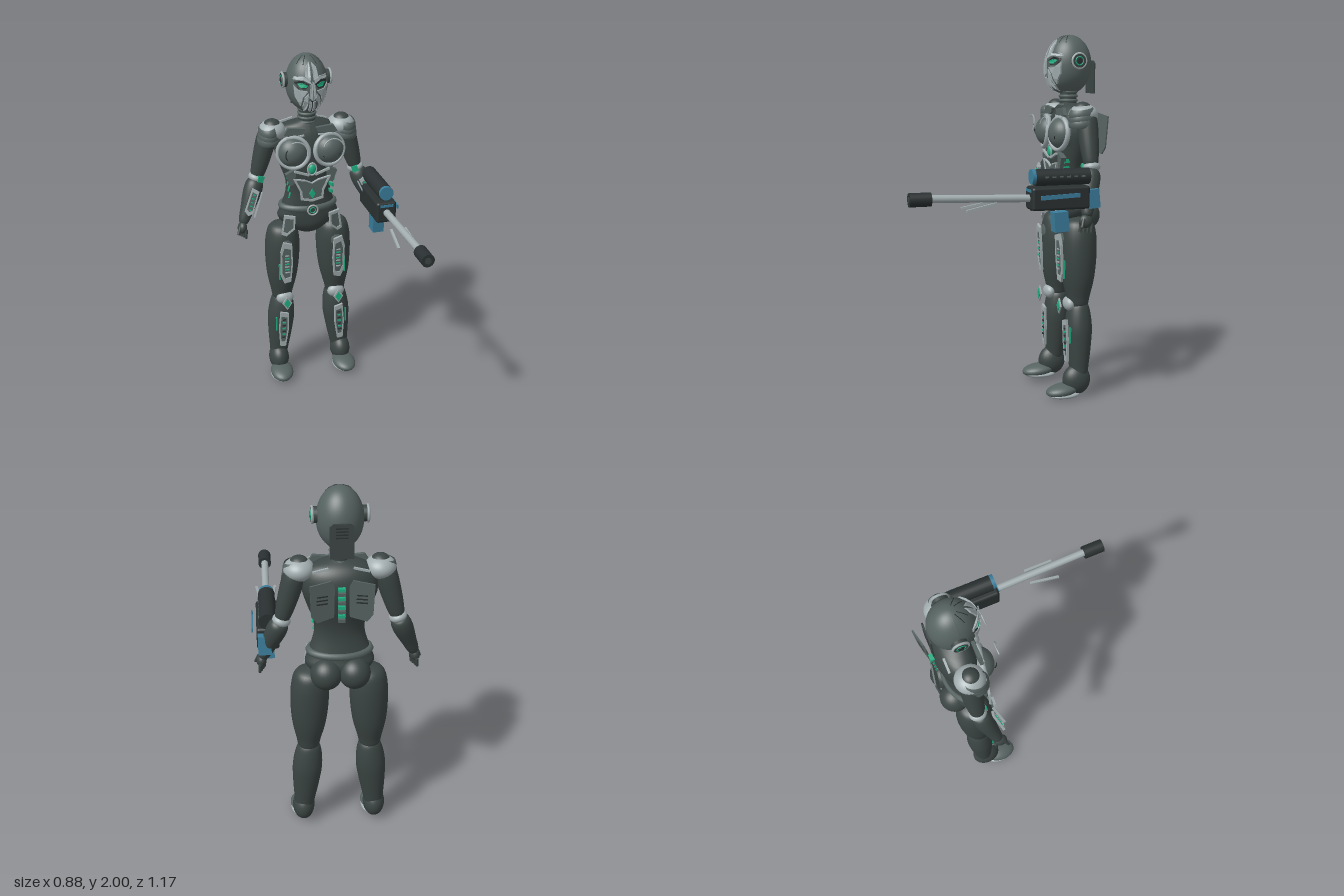
import * as THREE from 'three';
import { RoundedBoxGeometry } from 'three/addons/geometries/RoundedBoxGeometry.js';

const mat = (name, color) => Object.assign(new THREE.MeshStandardMaterial({ color, side: THREE.DoubleSide }), { name });
const V = (a) => new THREE.Vector3(...a);

export function createModel() {
  const body = mat('dark body', 0x3b4543), grey = mat('grey plating', 0x566361), light = mat('light trim', 0xa2adaf);
  const green = mat('green glow', 0x1fae80), blue = mat('blue fittings', 0x3a7d9b), black = mat('gun black', 0x2a3031);
  const root = new THREE.Group();
  let side = 1, prefix = '';

  // Helpers: place a mesh (mirrored by side), and run a builder for both sides
  function add(name, geo, material, p = [0, 0, 0], r = [0, 0, 0], s = [1, 1, 1]) {
    const m = new THREE.Mesh(geo, material);
    m.name = prefix + name;
    m.position.set(p[0] * side, p[1], p[2]);
    m.rotation.set(r[0], r[1] * side, r[2] * side);
    m.scale.set(...s);
    root.add(m);
    return m;
  }
  const both = (fn) => {
    for (side of [1, -1]) { prefix = side > 0 ? 'left ' : 'right '; fn(); }
    side = 1; prefix = '';
  };
  const ball = (name, m, p, s, r) => add(name, new THREE.SphereGeometry(1, 28, 20), m, p, r, s);
  const box = (name, m, p, s, r) => add(name, new THREE.BoxGeometry(...s), m, p, r);
  const rod = (name, m, p, r1, r2, h, r) => add(name, new THREE.CylinderGeometry(r1, r2, h, 24), m, p, r);
  const ring = (name, m, p, R, t, r, s) => add(name, new THREE.TorusGeometry(R, t, 8, 36), m, p, r, s);
  const outline = (pts, k = 1) => pts.map(([x, y]) => new THREE.Vector2(x * k * side, y * k));
  const extrude = (shape, depth = 0.008) => new THREE.ExtrudeGeometry(shape, { depth, bevelEnabled: false });
  const plate = (name, m, pts, p, r, depth) => add(name, extrude(new THREE.Shape(outline(pts)), depth), m, p, r);
  // Plate with a raised light frame round it
  function framed(name, pts, p, r, inner = 0.8) {
    const rim = new THREE.Shape(outline(pts));
    rim.holes.push(new THREE.Path(outline(pts, inner)));
    add(name + ' frame', extrude(rim, 0.014), light, p, r);
    plate(name, grey, pts.map(([x, y]) => [x * 0.9, y * 0.9]), p, r, 0.009);
  }
  // Rounded limb from a to b; profile lists [t, radius]
  function limb(name, m, a, b, profile, depth = 1) {
    const d = V(b).sub(V(a)), L = d.length();
    const pts = new THREE.SplineCurve(profile.map(([t, r]) => new THREE.Vector2(r, t * L))).getPoints(40);
    pts.forEach((q) => { q.x = Math.max(q.x, 0); });
    const o = add(name, new THREE.LatheGeometry(pts, 28), m, a, undefined, [1, 1, depth]);
    d.x *= side;
    o.quaternion.setFromUnitVectors(new THREE.Vector3(0, 1, 0), d.normalize());
  }
  const diamond = (w, h) => [[0, h], [w, 0], [0, -h], [-w, 0]];

  // Torso: rows of [y, half width, front z, back z]
  const rows = [[0.94, 0.03, -0.39, -0.45], [0.955, 0.075, -0.355, -0.48], [1.0, 0.14, -0.33, -0.515], [1.05, 0.178, -0.325, -0.52],
    [1.1, 0.165, -0.325, -0.505], [1.2, 0.132, -0.325, -0.485], [1.28, 0.132, -0.32, -0.49], [1.38, 0.165, -0.315, -0.52],
    [1.47, 0.19, -0.31, -0.54], [1.55, 0.185, -0.325, -0.53], [1.6, 0.14, -0.35, -0.5], [1.63, 0.05, -0.37, -0.45]];
  const widths = new THREE.CatmullRomCurve3(rows.map((q) => V([q[1], q[0], 0])), false, 'catmullrom');
  const depths = new THREE.CatmullRomCurve3(rows.map((q) => V([0, q[2], q[3]])), false, 'catmullrom');
  const torso = new THREE.CylinderGeometry(1, 1, 1, 40, 44, true);
  const tp = torso.attributes.position;
  for (let i = 0; i < tp.count; i++) {
    const t = tp.getY(i) + 0.5, w = widths.getPoint(t), d = depths.getPoint(t);
    tp.setXYZ(i, tp.getX(i) * w.x, w.y, (d.y + d.z) / 2 + tp.getZ(i) * (d.y - d.z) / 2);
  }
  torso.computeVertexNormals();
  add('torso', torso, body);

  // Neck with rings
  rod('neck', body, [0, 1.64, -0.41], 0.045, 0.05, 0.14);
  for (let i = 0; i < 5; i++) ring('neck ring', grey, [0, 1.595 + i * 0.024, -0.41], 0.046, 0.008, [Math.PI / 2, 0, 0]);

  // Head: ellipsoid with a fuller, narrower jaw
  const hy = 1.838, hz = -0.413, rx = 0.116, ry = 0.162, rz = 0.124;
  const jaw = (v) => (v < 0 ? Math.sqrt(1 + v * v) : 1), taper = (v) => jaw(v) * (v < 0 ? 1 - 0.42 * v * v : 1);
  const head = new THREE.SphereGeometry(1, 40, 32), hp = head.attributes.position;
  for (let i = 0; i < hp.count; i++) {
    const v = hp.getY(i), z = hp.getZ(i);
    hp.setXYZ(i, hp.getX(i) * rx * taper(v), hy + v * ry, hz + z * rz * (z > 0 ? jaw(v) : 1));
  }
  head.computeVertexNormals();
  add('head', head, grey);
  const faceZ = (x, y) => {
    const v = (y - hy) / ry, u = x / (rx * taper(v));
    return hz + rz * jaw(v) * Math.sqrt(Math.max(0, 1 - v * v - u * u));
  };
  // Plates bent over the face
  function facePlate(name, m, pts, lift = 0.003, depth = 0.008) {
    const fine = pts.flatMap((a, i) => {
      const b = pts[(i + 1) % pts.length];
      return [0, 1, 2, 3].map((k) => [a[0] + (b[0] - a[0]) * k / 4, a[1] + (b[1] - a[1]) * k / 4]);
    });
    const g = extrude(new THREE.Shape(outline(fine)), depth), q = g.attributes.position;
    for (let i = 0; i < q.count; i++) q.setZ(i, q.getZ(i) + lift + faceZ(q.getX(i), q.getY(i)));
    g.computeVertexNormals();
    add(name, g, m);
  }
  both(() => {
    facePlate('forehead plate', light, [[0.006, 1.975], [0.028, 1.95], [0.036, 1.905], [0.008, 1.885]]);
    facePlate('brow', light, [[0.01, 1.868], [0.05, 1.888], [0.095, 1.885], [0.088, 1.902], [0.045, 1.905], [0.012, 1.89]], 0.007);
    facePlate('eye socket', black, [[0.016, 1.862], [0.05, 1.882], [0.09, 1.872], [0.075, 1.838], [0.035, 1.836]], 0.001, 0.004);
    facePlate('eye', green, [[0.024, 1.857], [0.05, 1.868], [0.078, 1.864], [0.062, 1.846], [0.036, 1.845]], 0.004, 0.005);
    facePlate('nose side', light, [[0.002, 1.88], [0.013, 1.86], [0.018, 1.79], [0.002, 1.775]], 0.012);
    facePlate('cheek plate', light, [[0.025, 1.826], [0.07, 1.83], [0.094, 1.855], [0.088, 1.79], [0.06, 1.735], [0.052, 1.79]]);
    facePlate('muzzle plate', light, [[0.022, 1.815], [0.042, 1.79], [0.05, 1.73], [0.036, 1.695], [0.026, 1.745]], 0.006);
    facePlate('lip strip', light, [[0.004, 1.765], [0.016, 1.77], [0.018, 1.71], [0.005, 1.695]], 0.006);
    // Ear discs
    const turn = [0, 0, Math.PI / 2];
    rod('ear disc', body, [0.125, 1.86, -0.42], 0.04, 0.04, 0.03, turn);
    ring('ear ring', light, [0.134, 1.86, -0.42], 0.039, 0.007, [0, Math.PI / 2, 0]);
    ring('ear glow', green, [0.14, 1.86, -0.42], 0.022, 0.003, [0, Math.PI / 2, 0]);
    rod('ear hub', black, [0.139, 1.86, -0.42], 0.014, 0.014, 0.012, turn);
  });
  facePlate('mouth slit', black, [[-0.005, 1.77], [0.005, 1.77], [0.005, 1.7], [-0.005, 1.7]], 0.001, 0.004);
  plate('head back plate', body, [[-0.058, -0.09], [0.058, -0.09], [0.058, 0.075], [0.04, 0.09], [-0.04, 0.09], [-0.058, 0.075]], [0, 1.77, -0.545]);
  for (let i = 0; i < 4; i++) box('head vent', black, [0, 1.79 + i * 0.016, -0.547], [0.06, 0.006, 0.004]);
  // Seams over the crown
  for (let i = -2; i <= 2; i++) {
    const pts = [0.25, 0.5, 0.75, 1, 1.25, 1.5].map((a) => V([Math.sin(i * 0.5) * Math.sin(a) * rx, hy + Math.cos(a) * ry * 1.003, hz + Math.cos(i * 0.5) * Math.sin(a) * rz]));
    if (i) add('crown seam', new THREE.TubeGeometry(new THREE.CatmullRomCurve3(pts.slice(0, 3)), 12, 0.002, 5), black);
  }

  both(() => {
    // Chest
    ball('breast', grey, [0.104, 1.47, -0.335], [0.086, 0.086, 0.075]);
    ring('breast rim', light, [0.104, 1.468, -0.318], 0.088, 0.012, [-0.1, 0.2, 0], [1, 1, 1.3]);
    add('chest arc', new THREE.TorusGeometry(0.06, 0.004, 6, 24, 2.4), light, [0.105, 1.5, -0.225], [-0.2, 0, 0.37]);
    add('chest lower arc', new THREE.TorusGeometry(0.055, 0.003, 6, 24, 2.2), black, [0.104, 1.478, -0.268], [0.25, 0, 3.7]);
    plate('collar plate', grey, [[0.03, 1.6], [0.13, 1.61], [0.155, 1.57], [0.1, 1.555], [0.04, 1.575]], [0, 0, -0.345], [0, 0, 0], 0.02);
    box('collar trim', light, [0.09, 1.558, -0.322], [0.1, 0.008, 0.01], [0, 0, -0.1]);
    box('upper back trim', light, [0.1, 1.6, -0.5], [0.08, 0.01, 0.012], [0, 0, -0.25]);
    // Abdomen and flanks
    plate('flank plate', grey, [[0.085, 1.37], [0.15, 1.34], [0.125, 1.27], [0.1, 1.28]], [0, 0, -0.345], [0, 0, 0], 0.03);
    for (let i = 0; i < 4; i++) box('flank glow', green, [0.118 + i * 0.004, 1.2 + i * 0.04, -0.36], [0.008, 0.022, 0.05], [0, 0.4, 0.2]);
    box('rib trim', light, [0.06, 1.345, -0.305], [0.09, 0.012, 0.012], [0, 0, 0.35]);
    // Hip pouch
    framed('hip guard', [[-0.036, 0.06], [0.03, 0.066], [0.042, -0.055], [0.012, -0.065], [-0.034, -0.02]], [0.135, 1.025, -0.322], [0, 0.25, 0.05], 0.72);
    // Shoulder blade plates with slots
    const bx = 0.092, rot = [-0.06, 0.2, 0];
    plate('shoulder blade plate', grey, [[-0.055, -0.09], [0.03, -0.11], [0.06, -0.07], [0.066, 0.1], [-0.04, 0.115], [-0.058, 0.08]], [bx, 1.46, -0.569], rot);
    for (let i = 0; i < 4; i++) box('back vent', black, [bx + 0.005, 1.455 + i * 0.02, -0.571], [0.055, 0.007, 0.004], rot);
    ball('buttock', body, [0.072, 1.01, -0.488], [0.083, 0.086, 0.084]);

    // Shoulder
    ball('shoulder joint', light, [0.2, 1.575, -0.42], [0.078, 0.058, 0.08]);
    ball('shoulder cap', body, [0.2, 1.602, -0.415], [0.05, 0.042, 0.05]);
    for (let i = 0; i < 3; i++) add('shoulder layer', new THREE.SphereGeometry(1, 24, 10, 0, Math.PI * 2, 0.9, 0.9), grey, [0.222, 1.53 + i * 0.024, -0.405], [0.15, 0, -0.15], [0.066 - i * 0.004, 0.055, 0.075]);
    // Arm
    const elbow = [0.293, 1.3, -0.432], wrist = [0.39, 1.06, -0.37];
    limb('upper arm', body, elbow, [0.21, 1.6, -0.43], [[0, 0.03], [0.12, 0.042], [0.45, 0.053], [0.8, 0.056], [0.95, 0.04], [1, 0]]);
    ball('elbow joint', light, elbow, [0.047, 0.03, 0.048], [0, 0, 0.3]);
    box('elbow glow', green, [0.278, 1.302, -0.386], [0.036, 0.036, 0.01], [0, -0.2, 0.35]);
    limb('forearm', body, wrist, elbow, [[-0.03, 0], [0, 0.027], [0.3, 0.04], [0.7, 0.053], [0.92, 0.043], [1, 0]]);
    const fr = [-0.26, 0, 0.38];
    framed('forearm guard', [[-0.022, 0.07], [0.02, 0.08], [0.025, -0.06], [0, -0.08], [-0.022, -0.06]], [0.342, 1.185, -0.347], fr, 0.72);
    box('forearm side fin', light, [0.31, 1.175, -0.325], [0.006, 0.15, 0.015], fr);
    for (let i = -2; i <= 2; i++) box('forearm glow', green, [0.342 - i * 0.008, 1.187 + i * 0.02, -0.337 - i * 0.005], [0.014, 0.006, 0.008], fr);
    // Hand
    ball('palm', body, [0.4, 1.03, -0.36], [0.026, 0.036, 0.036], [0, 0, 0.2]);
    for (let i = 0; i < 4; i++) rod('finger', body, [0.408 - i * 0.008, 0.995, -0.39 + i * 0.018], 0.01, 0.007, 0.05, [-0.1, 0, 0.1]);
    rod('thumb', body, [0.422, 1.022, -0.335], 0.011, 0.007, 0.05, [-0.4, 0, 0.4]);

    // Leg
    limb('thigh', body, [0.166, 0.5, -0.415], [0.15, 1.015, -0.42], [[0, 0], [0.03, 0.05], [0.14, 0.066], [0.35, 0.09], [0.6, 0.101], [0.82, 0.097], [0.95, 0.072], [1, 0]]);
    limb('lower leg', body, [0.195, 0.1, -0.415], [0.16, 0.55, -0.42], [[0, 0], [0.03, 0.045], [0.2, 0.06], [0.45, 0.074], [0.65, 0.08], [0.85, 0.07], [0.96, 0.05], [1, 0]], 0.93);
    ball('thigh pad', grey, [0.152, 0.885, -0.35], [0.05, 0.07, 0.034]);
    framed('thigh guard', [[-0.03, 0.13], [0.02, 0.145], [0.038, 0.08], [0.036, -0.08], [0.015, -0.13], [-0.025, -0.12], [-0.035, 0]], [0.155, 0.785, -0.314], [0.06, 0.1, 0], 0.75);
    for (let i = -3; i <= 3; i++) box('thigh glow', i % 2 ? light : green, [0.155, 0.785 + i * 0.018, -0.3], [0.026, 0.006, 0.006]);
    box('thigh side glow', green, [0.197, 0.73, -0.32], [0.008, 0.1, 0.01]);
    ball('knee cap', light, [0.158, 0.53, -0.365], [0.052, 0.04, 0.032]);
    plate('knee plate', light, diamond(0.03, 0.044), [0.158, 0.52, -0.312]);
    plate('knee glow', green, diamond(0.02, 0.032), [0.158, 0.52, -0.304], [0, 0, 0], 0.004);
    framed('shin guard', [[-0.024, 0.11], [0.026, 0.12], [0.03, 0], [0.016, -0.12], [-0.018, -0.12], [-0.03, 0]], [0.174, 0.325, -0.35], [0.03, 0.05, 0.06], 0.75);
    for (let i = -3; i <= 3; i++) box('shin glow', i % 2 ? black : green, [0.174 - i * 0.001, 0.33 + i * 0.02, -0.336], [0.02, 0.007, 0.006]);
    box('shin side glow', green, [0.216, 0.36, -0.352], [0.008, 0.09, 0.01]);
    // Foot
    ball('heel', body, [0.196, 0.1, -0.4], [0.06, 0.085, 0.08]);
    ball('toe cap', grey, [0.198, 0.046, -0.315], [0.068, 0.036, 0.095], [0.12, 0.08, 0]);
    ball('sole', light, [0.198, 0.022, -0.325], [0.066, 0.02, 0.095], [0, 0.08, 0]);
  });

  // Centre front details
  framed('abdomen plate', [[-0.11, 0.065], [-0.04, 0.05], [0, 0.03], [0.04, 0.05], [0.11, 0.065], [0.07, -0.02], [0.065, -0.07], [0, -0.085], [-0.065, -0.07], [-0.07, -0.02]], [0, 1.25, -0.318], undefined, 0.84);
  plate('abdomen gem', green, diamond(0.018, 0.03), [0, 1.215, -0.307]);
  ball('sternum gem', green, [0, 1.365, -0.305], [0.022, 0.03, 0.014]);
  ring('sternum rim', light, [0, 1.365, -0.304], 0.028, 0.005, undefined, [0.9, 1.25, 1]);

  // Spine lights
  for (let i = 0; i < 8; i++) box('spine segment', i % 2 ? green : grey, [0, 1.35 + i * 0.024, -0.545], [0.036, 0.016, 0.026]);

  // Belt and buckle
  ring('belt', grey, [0, 1.115, -0.415], 0.155, 0.02, [Math.PI / 2, 0, 0], [1, 0.62, 1]);
  rod('buckle', body, [0, 1.115, -0.305], 0.032, 0.032, 0.018, [Math.PI / 2, 0, 0]);
  ring('buckle rim', light, [0, 1.115, -0.296], 0.029, 0.005);
  ring('buckle glow', green, [0, 1.115, -0.295], 0.016, 0.003);

  // Gun, held by the left hand
  const gx = 0.362, along = [Math.PI / 2, 0, 0];
  add('gun body', new RoundedBoxGeometry(0.116, 0.122, 0.32, 3, 0.015), black, [gx, 1.158, -0.217]);
  rod('gun top tube', black, [gx, 1.265, -0.235], 0.044, 0.044, 0.3, along);
  rod('top tube lens', blue, [gx, 1.27, -0.076], 0.04, 0.04, 0.02, along);
  for (let i = 0; i < 6; i++) box('top tube slot', grey, [gx + 0.043, 1.27, -0.34 + i * 0.04], [0.006, 0.008, 0.02]);
  rod('gun barrel', light, [gx, 1.168, 0.2], 0.02, 0.02, 0.55, [Math.PI / 2 - 0.035, 0, 0]);
  rod('muzzle', black, [gx, 1.176, 0.523], 0.036, 0.036, 0.113, along);
  rod('muzzle bore', body, [gx, 1.176, 0.581], 0.018, 0.018, 0.003, along);
  for (const s of [-1, 1]) box('bipod leg', light, [gx + s * 0.046, 1.13, 0.212], [0.014, 0.012, 0.17], [0.19, s * 0.08, 0]);
  box('gun grip', blue, [gx, 1.03, -0.228], [0.065, 0.105, 0.078], [0.06, 0, 0]);
  box('gun stock', blue, [0.38, 1.148, -0.4], [0.068, 0.1, 0.065], [0.1, 0, 0]);
  box('gun side strip', blue, [0.441, 1.172, -0.203], [0.008, 0.022, 0.215], [0.04, 0, 0]);
  box('gun front strip', blue, [gx, 1.2, -0.056], [0.075, 0.014, 0.006]);

  return root;
}
